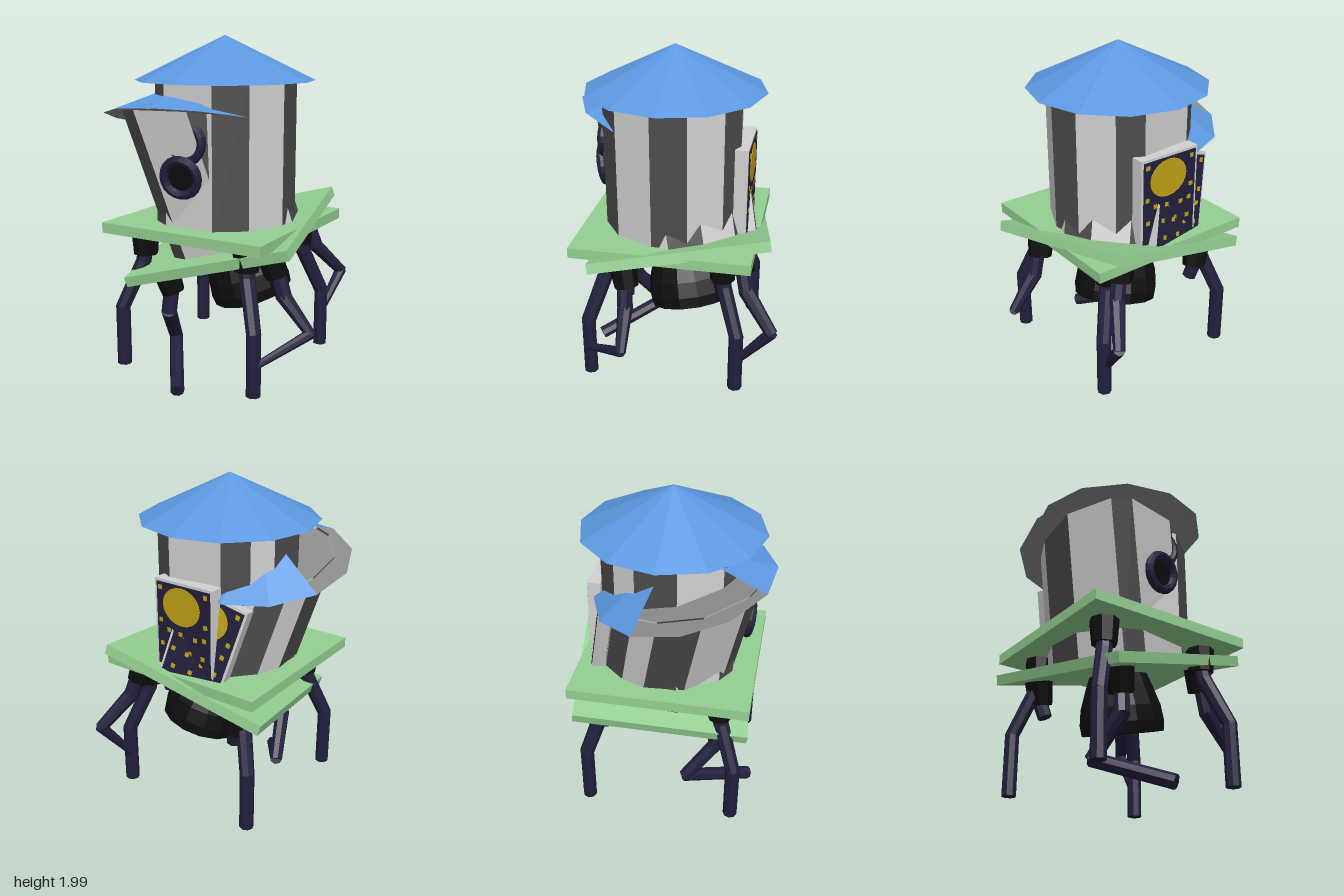
import * as THREE from 'three';

const mat = (name, color, opts = {}) => {
  const m = new THREE.MeshStandardMaterial({ color, flatShading: true, ...opts });
  m.name = name;
  return m;
};

const V = (x, y, z) => new THREE.Vector3(x, y, z);
const DEG = Math.PI / 180;

// Plank edges around the wall in degrees; even planks are dark
const PLANK_EDGES = [21, 49, 82, 110, 141, 163, 209, 231, 251, 283, 320, 337, 381];

export function createModel() {
  const twoSided = { side: THREE.DoubleSide };
  const M = {
    blue: mat('roofBlue', 0x5c98e0, twoSided),
    light: mat('lightPlank', 0xd2d2d2, twoSided),
    dark: mat('darkPlank', 0x4c4c4c, twoSided),
    brim: mat('brimGrey', 0x8c8c8c, twoSided),
    green: mat('deckGreen', 0x94d092),
    navy: mat('navy', 0x221f3c),
    black: mat('black', 0x0e0e0e, twoSided),
    yellow: mat('yellow', 0xc0a214),
  };

  const add = (parent, name, geometry, material, x = 0, y = 0, z = 0) => {
    const mesh = new THREE.Mesh(geometry, material);
    mesh.name = name;
    mesh.position.set(x, y, z);
    parent.add(mesh);
    return mesh;
  };

  // Jointed leg: faceted rods through a list of points
  function leg(parent, name, points, radii) {
    const g = new THREE.Group();
    g.name = name;
    for (let i = 0; i < points.length - 1; i++) {
      const a = points[i], b = points[i + 1];
      const d = b.clone().sub(a);
      const rod = add(g, 'legSegment',
        new THREE.CylinderGeometry(radii[i + 1], radii[i], d.length() + 0.015, 8), M.navy);
      rod.position.copy(a).add(b).multiplyScalar(0.5);
      rod.quaternion.setFromUnitVectors(V(0, 1, 0), d.normalize());
    }
    parent.add(g);
  }

  // Night-sky panel on the back wall
  function skyPanel(parent) {
    const g = new THREE.Group();
    g.name = 'skyPanel';
    add(g, 'panelFrame', new THREE.BoxGeometry(0.39, 0.55, 0.075), M.light, 0, 0, 0.0375);
    add(g, 'nightSky', new THREE.BoxGeometry(0.36, 0.52, 0.006), M.navy, 0, 0, -0.002);
    const moon = add(g, 'moon', new THREE.CylinderGeometry(0.11, 0.11, 0.004, 20), M.yellow, 0.012, 0.14, -0.006);
    moon.rotation.x = Math.PI / 2;
    moon.scale.x = 1.15;
    const stars = [[-.15, .23], [-.15, .06], [-.14, -.02], [-.08, -.03], [.02, -.02], [.1, -.01], [.155, .04],
      [.15, -.1], [.06, -.1], [-.04, -.12], [-.13, -.13], [.12, -.2], [.01, -.19], [-.09, -.21], [.155, .23]];
    for (const [x, y] of stars)
      add(g, 'star', new THREE.BoxGeometry(0.025, 0.025, 0.004), M.yellow, x, y, -0.006);
    g.position.set(-0.012, 0.275, -0.44);
    parent.add(g);
  }

  // Wall of alternating planks, its top cut along the plane of the roof
  function plankWall(roof) {
    const wall = new THREE.CylinderGeometry(0.41, 0.41, 1, 12, 1, true);
    const p = wall.attributes.position;
    for (let i = 0; i < p.count; i++) {
      const a = PLANK_EDGES[i % 13] * DEG;
      const x = 0.41 * Math.sin(a), z = 0.41 * Math.cos(a);
      p.setXYZ(i, x, p.getY(i) > 0 ? roof.y + 0.004 + roof.slopeX * x + roof.slopeZ * z : 0, z);
    }
    wall.clearGroups();
    for (let i = 0; i < 12; i++) wall.addGroup(i * 6, 6, i % 2);
    wall.computeVertexNormals();
    return wall;
  }

  // Tower whose origin is the middle of its deck
  function tower(name, roof) {
    const g = new THREE.Group();
    g.name = name;
    add(g, 'deck', new THREE.BoxGeometry(1.02, 0.06, 1.02), M.green);
    add(g, 'plankWall', plankWall(roof), [M.dark, M.light]);

    // Conical roof with a flat underside
    const top = new THREE.Group();
    top.name = 'roof';
    add(top, 'roofCone', new THREE.CylinderGeometry(0, 0.515, 0.25, roof.panels, 1, true,
      roof.start * DEG, roof.panels * 30 * DEG), M.blue, 0, 0.125, 0);
    add(top, 'roofUnderside', new THREE.CircleGeometry(0.513, 12), M.brim).rotation.x = -Math.PI / 2;
    top.position.set(roof.x, roof.y, 0);
    top.quaternion.setFromUnitVectors(V(0, 1, 0), V(-roof.slopeX, 1, -roof.slopeZ).normalize());
    g.add(top);

    // Round window on the front
    add(g, 'windowRing', new THREE.TorusGeometry(0.1, 0.026, 8, 20), M.navy, 0, 0.51, 0.41);
    const pane = add(g, 'windowPane', new THREE.CylinderGeometry(0.078, 0.078, 0.008, 16), M.black, 0, 0.51, 0.405);
    pane.rotation.x = Math.PI / 2;

    skyPanel(g);

    // Hip joints under the deck corners
    for (const sx of [-1, 1]) for (const sz of [-1, 1])
      add(g, 'hipJoint', new THREE.CylinderGeometry(0.082, 0.07, 0.14, 8), M.black, sx * 0.335, -0.1, sz * 0.335);
    return g;
  }

  const model = new THREE.Group();
  model.name = 'doubleTower';

  // Upright tower with four standing legs
  const upright = tower('uprightTower', { x: 0, y: 0.82, slopeX: 0, slopeZ: 0, start: 0, panels: 12 });
  upright.position.set(-0.01, 0.93, 0.045);
  for (const sx of [-1, 1]) for (const sz of [-1, 1])
    leg(upright, 'standingLeg', [
      V(sx * 0.335, -0.12, sz * 0.335), V(sx * 0.345, -0.21, sz * 0.345),
      V(sx * 0.435, -0.48, sz * 0.435), V(sx * 0.435, -0.825, sz * 0.435)],
    [0.045, 0.045, 0.042, 0.042]);
  model.add(upright);

  // Leaning tower: its roof has slipped back and lost three panels
  const leaning = tower('leaningTower', { x: -0.03, y: 0.735, slopeX: -0.279, slopeZ: 0.419, start: 330, panels: 9 });
  const ex = V(0.956, 0.265, -0.127).normalize();
  const ey = V(0.172, -0.153, 0.973).cross(ex).normalize();
  const ez = ex.clone().cross(ey);
  leaning.quaternion.setFromRotationMatrix(new THREE.Matrix4().makeBasis(ex, ey, ez));
  leaning.position.set(0.023, 0.835, -0.007);
  leaning.scale.setScalar(0.985);

  // Flared nozzle below the leaning deck
  const nozzle = [[0.17, -0.02], [0.2, -0.1], [0.24, -0.22], [0.252, -0.31], [0.245, -0.375], [0, -0.37]]
    .map(([r, y]) => new THREE.Vector2(r, y));
  add(leaning, 'nozzle', new THREE.LatheGeometry(nozzle, 14), M.black);
  model.add(leaning);

  // Bent legs of the leaning tower
  leg(model, 'frontRightBentLeg', [V(-0.2, 0.57, 0.333), V(-0.21, 0.42, 0.35),
    V(-0.28, 0.2, 0.18), V(-0.03, 0.045, 0.54)], [0.045, 0.045, 0.04, 0.04]);
  leg(model, 'frontLeftBentLeg', [V(0.44, 0.75, 0.25), V(0.48, 0.6, 0.24),
    V(0.64, 0.41, 0.23), V(0.45, 0.28, 0.48)], [0.045, 0.045, 0.03, 0.02]);
  leg(model, 'backLeftBentLeg', [V(0.323, 0.85, -0.4), V(0.36, 0.72, -0.43),
    V(0.47, 0.53, -0.59), V(0.41, 0.28, -0.4)], [0.045, 0.045, 0.035, 0.022]);
  leg(model, 'backRightBentLeg', [V(-0.317, 0.67, -0.32), V(-0.29, 0.57, -0.3)], [0.045, 0.042]);

  return model;
}
